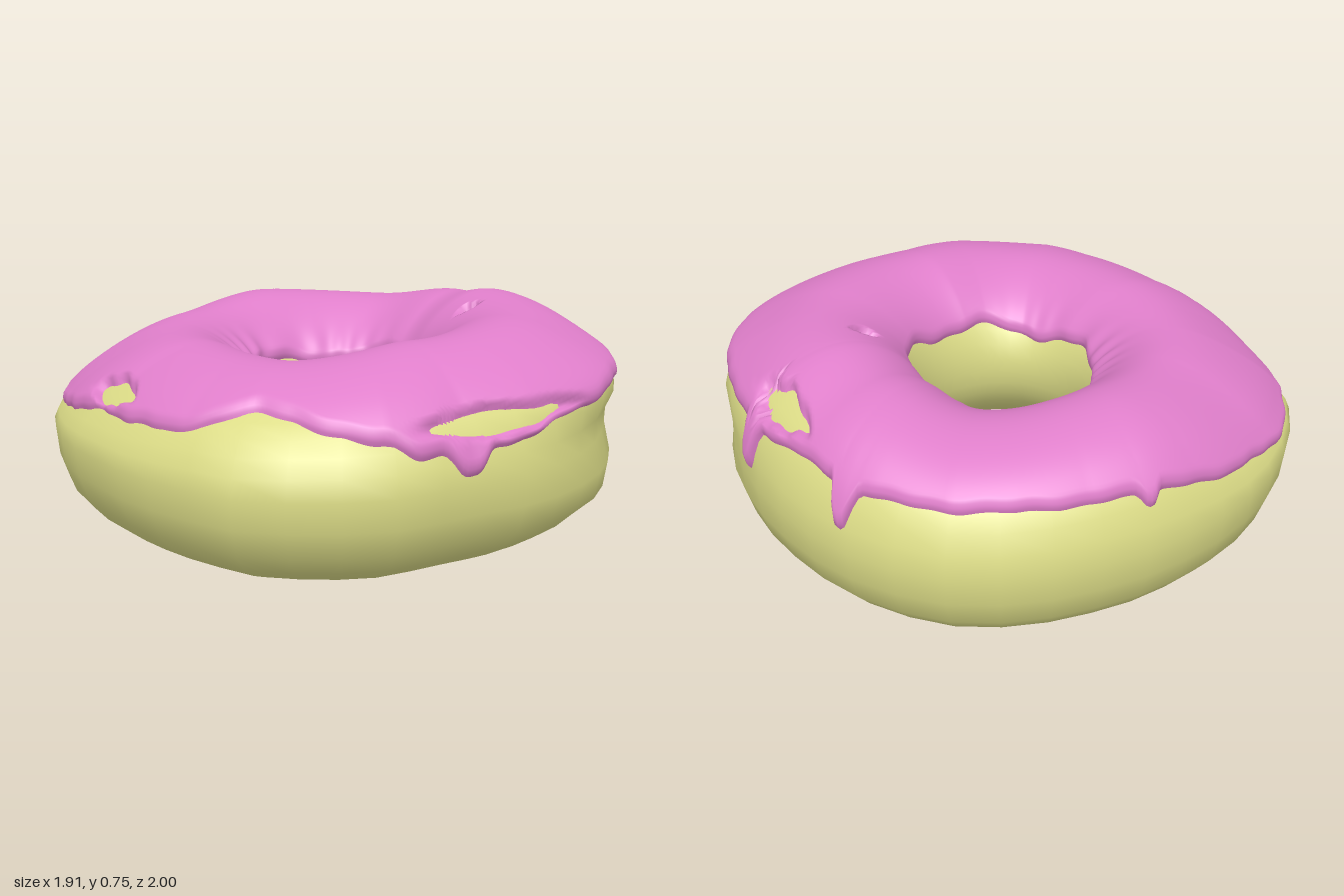
import * as THREE from 'three';

const RAD = Math.PI / 180;
const bell = (d, w) => Math.exp(-(d * d) / (w * w));
const smooth = (x, a, b) => THREE.MathUtils.smoothstep(x, a, b);
const angleGap = (a, b) => ((a - b + 540) % 360 + 360) % 360 - 180;

// Interpolate values listed around the ring as [degrees, value], 0 = +x, 90 = +z
function around(table, deg, soft = false) {
  const d = ((deg + 180) % 360 + 360) % 360 - 180;
  const first = table[0], last = table[table.length - 1];
  const t = [[last[0] - 360, last[1]], ...table, [first[0] + 360, first[1]]];
  const i = t.findIndex((p, k) => k < t.length - 1 && d >= p[0] && d <= t[k + 1][0]);
  let f = (d - t[i][0]) / (t[i + 1][0] - t[i][0]);
  if (soft) f = f * f * (3 - 2 * f);
  return t[i][1] + (t[i + 1][1] - t[i][1]) * f;
}

// Uneven outer radius, crest height, shoulder drop and icing hem height
const OUTER = [[-165, .945], [-138, .935], [-115, .955], [-102, .985], [-90, 1], [-76, .99], [-55, .955], [-38, .945],
  [-15, .955], [0, .945], [32, .94], [48, .92], [64, .985], [90, 1], [102, .95], [127, .905], [154, .93], [171, .965]];
const CREST = [[-135, .665], [-90, .635], [-60, .69], [-40, .725], [0, .71], [45, .69], [90, .638], [135, .66], [180, .66]];
const DROP = [[-165, .055], [-127, -.03], [-90, -.035], [-45, -.01], [0, 0], [45, .01], [90, 0], [130, .04], [165, .08]];
const HEM = [[-170, .41], [-150, .46], [-127, .53], [-103, .54], [-78, .54], [-58, .555], [-38, .54], [-25, .555], [0, .54],
  [18, .51], [40, .455], [58, .455], [65, .5], [87, .565], [108, .49], [130, .48], [162, .41]];
// Drips: angle, length, half width
const DRIPS = [[48, .08, 4], [-41, .14, 2], [-70, .12, 2.2], [-127, .04, 1.8]];
// Bare spots: angle, position along the section, half angle, half length
const BARE = [[131, 5.95, 8, .38], [40, 6.65, 17, .33], [-46, 5.95, 9, .42], [-27, 3.1, 3.2, .3]];

// Ring section: hole waist, over the crest, outer side, back underneath
const section = new THREE.CatmullRomCurve3([
  [0, .35], [.02, .44], [.1, .53], [.27, .61], [.45, .64], [.65, .615], [.83, .55], [.94, .47],
  [1, .36], [.94, .18], [.75, .07], [.53, .02], [.3, .06], [.13, .15], [.03, .25],
].map(([u, y]) => new THREE.Vector3(u, y, 0)), true);
const COUNT = section.points.length;

// Radius and height of the dough at an angle and a section position
function doughPoint(deg, s) {
  const a = deg * RAD;
  const p = section.getPoint((((s / COUNT) % 1) + 1) % 1);
  const inner = .28 + .02 * Math.cos(a) - .035 * Math.sin(a);
  let r = inner + (around(OUTER, deg) - inner) * p.x;
  const upper = smooth(p.y, .3, .64);
  let y = p.y + (around(CREST, deg, true) - .64) * upper;
  // lip of the hole sinks towards the back left
  y -= .03 * bell(angleGap(deg, -135), 55) * (1 - smooth(p.x, .05, .4)) * upper;
  // shoulder slumps or swells around the ring
  y -= around(DROP, deg, true) * smooth(p.x, .2, .85) * smooth(p.y, .34, .52);
  // pinched waist on the +x side
  const pinch = bell(angleGap(deg, 0), 28) * smooth(p.x, .6, .9);
  r += pinch * (.07 * bell(y - .55, .1) - .03 * bell(y - .4, .1) + .03 * bell(y - .2, .09));
  // slightly sagging underside
  y -= .02 * bell(angleGap(deg, 180), 50) * (1 - smooth(p.y, .02, .25));
  return [r, y];
}

// The same surface pushed outwards by a thickness
function offsetPoint(deg, s, thick) {
  const [r, y] = doughPoint(deg, s);
  const [r0, y0] = doughPoint(deg, s - .05), [r1, y1] = doughPoint(deg, s + .05);
  const len = Math.hypot(r1 - r0, y1 - y0);
  return [r - (y1 - y0) / len * thick, y + (r1 - r0) / len * thick];
}

// Skin a ring of sections; closed also joins the last row to the first
function ringGeometry(steps, rows, closed, pointAt) {
  const pos = [], index = [], n = closed ? rows : rows + 1;
  for (let i = 0; i < steps; i++) {
    const deg = i / steps * 360, at = pointAt(deg);
    for (let j = 0; j < n; j++) {
      const [r, y] = at(j / rows);
      pos.push(r * Math.cos(deg * RAD), y, r * Math.sin(deg * RAD));
    }
  }
  for (let i = 0; i < steps; i++) {
    for (let j = 0; j < rows; j++) {
      const k = ((i + 1) % steps) * n, m = i * n, j2 = (j + 1) % n;
      index.push(m + j, k + j, m + j2, k + j, k + j2, m + j2);
    }
  }
  const g = new THREE.BufferGeometry();
  g.setAttribute('position', new THREE.Float32BufferAttribute(pos, 3));
  g.setIndex(index);
  g.computeVertexNormals();
  return g;
}

// Section position on the outer side where the dough has a given height
function findHem(deg, y) {
  let lo = 4.5, hi = 9;
  for (let i = 0; i < 18; i++) {
    const mid = (lo + hi) / 2;
    if (doughPoint(deg, mid)[1] > y) lo = mid; else hi = mid;
  }
  return lo;
}

function icingSection(deg) {
  const a = deg * RAD;
  let hem = around(HEM, deg, true) + .003 * Math.sin(a * 17) + .002 * Math.sin(a * 41 + 1);
  for (const [at, length, width] of DRIPS) {
    hem -= length * Math.exp(-Math.pow(Math.abs(angleGap(deg, at)) / width, 3));
  }
  const start = 1.45 + .15 * Math.sin(a * 5 + 2) + .05 * Math.sin(a * 13);
  const end = findHem(deg, hem);
  const pucker = .005 * bell(angleGap(deg, 200), 75) * Math.sin(a * 23 + 3 * Math.sin(a * 4));
  return (f) => {
    const s = start + (end - start) * f;
    // rounded lips at both edges
    const edge = Math.min(s - start, end - s);
    let thick = -.012 + .037 * Math.sqrt(Math.min(1, edge / .35));
    // puckers around the hole
    thick += pucker * bell(s - 2, .5) * Math.min(1, edge / .3);
    // bare spots thin out until the dough shows
    for (const [at, sc, da, ds] of BARE) {
      const u = angleGap(deg, at) / da, v = (s - sc) / ds;
      const d = Math.abs(u) ** 1.3 + Math.abs(v) ** 1.5 + .15 * Math.sin(u * 7 + v * 3);
      thick -= Math.max(0, thick + .012) * (1 - smooth(d, .6, 1.6));
    }
    return offsetPoint(deg, s, thick);
  };
}

export function createModel() {
  const group = new THREE.Group();
  group.name = 'doughnut';

  const dough = new THREE.Mesh(
    ringGeometry(40, 30, true, (deg) => (f) => doughPoint(deg, f * COUNT)),
    new THREE.MeshStandardMaterial({ color: 0xdcdc87 }));
  dough.name = 'dough';

  const icing = new THREE.Mesh(
    ringGeometry(400, 56, false, icingSection),
    new THREE.MeshStandardMaterial({ color: 0xe07fcb, side: THREE.DoubleSide }));
  icing.name = 'icing';

  group.add(dough, icing);
  return group;
}
